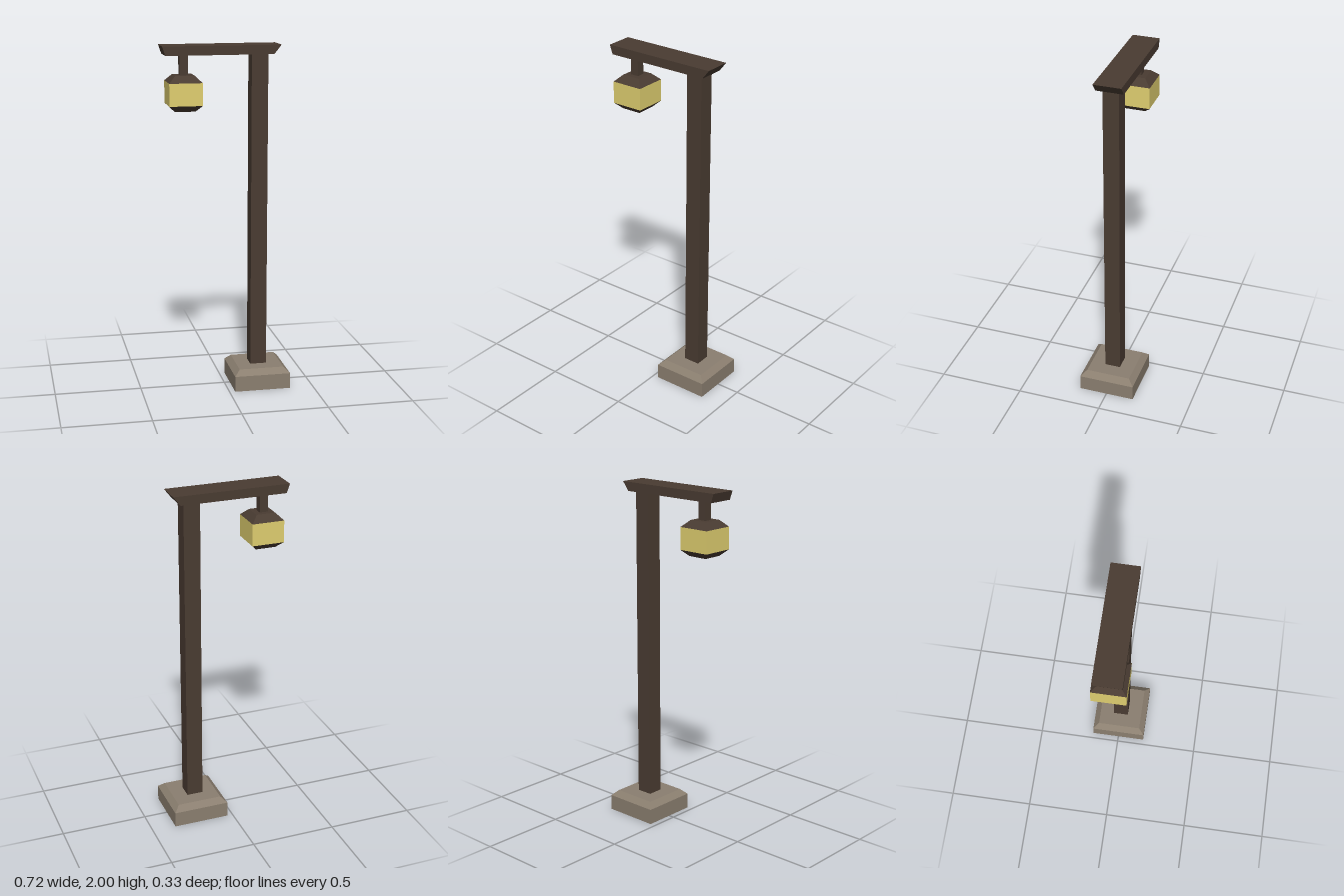
import * as THREE from 'three';

const material = (color) => new THREE.MeshStandardMaterial({ color, flatShading: true });

// Box between y0 and y1 whose bottom and top rectangles [x0, x1, z0, z1] may differ
function taperedBox(name, mat, y0, y1, bottom, top = bottom) {
  const geometry = new THREE.BoxGeometry(1, 1, 1);
  const p = geometry.attributes.position;
  for (let i = 0; i < p.count; i++) {
    const up = p.getY(i) > 0;
    const [x0, x1, z0, z1] = up ? top : bottom;
    p.setXYZ(i, p.getX(i) > 0 ? x1 : x0, up ? y1 : y0, p.getZ(i) > 0 ? z1 : z0);
  }
  geometry.computeVertexNormals();
  const mesh = new THREE.Mesh(geometry, mat);
  mesh.name = name;
  return mesh;
}

// Square footprint around a centre
const square = (cx, half, cz = 0) => [cx - half, cx + half, cz - half, cz + half];

export function createModel() {
  const wood = material(0x4a3c32);
  const stone = material(0x8b7f70);
  const glow = material(0xe0cf70);
  const model = new THREE.Group();
  model.name = 'lampPost';

  // Stone foot with a chamfered upper edge
  const foot = new THREE.Group();
  foot.name = 'foot';
  const footX = 0.197;
  foot.add(
    taperedBox('footBlock', stone, 0, 0.091, square(footX, 0.164)),
    taperedBox('footChamfer', stone, 0.091, 0.123, square(footX, 0.164), square(footX, 0.131)),
  );

  // Post and overhanging beam with slanted ends
  const post = taperedBox('post', wood, 0.123, 1.948, [0.148, 0.243, -0.046, 0.046]);
  const beam = taperedBox('beam', wood, 1.948, 2,
    [-0.344, 0.27, -0.081, 0.076], [-0.362, 0.311, -0.081, 0.076]);

  // Hanging lantern
  const lantern = new THREE.Group();
  lantern.name = 'lantern';
  const lampX = -0.233;
  const wide = square(lampX, 0.094, -0.001);
  const narrow = square(lampX, 0.055, -0.001);
  lantern.add(
    taperedBox('hanger', wood, 1.835, 1.948, square(lampX, 0.024, -0.001)),
    taperedBox('lanternCap', wood, 1.797, 1.835, wide, narrow),
    taperedBox('lanternGlass', glow, 1.67, 1.797, wide),
    taperedBox('lanternBottom', wood, 1.635, 1.67, square(lampX, 0.058, -0.001), wide),
  );

  model.add(foot, post, beam, lantern);
  return model;
}
